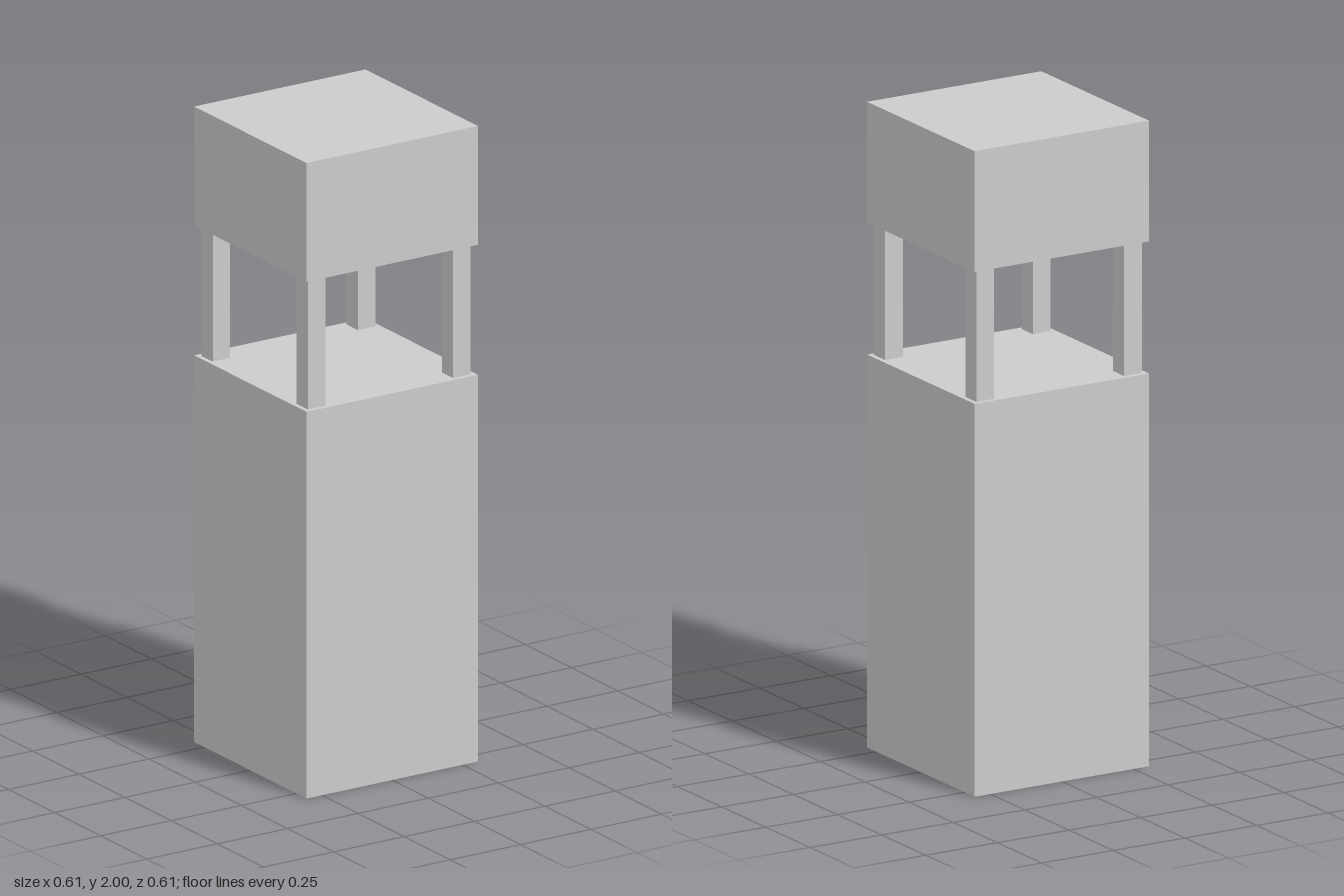
import * as THREE from 'three';

const WIDTH = 0.609;
const BODY_TOP = 1.217;
const CAP_BOTTOM = 1.626;
const POST = { size: 0.062, offset: 0.258 };

export function createModel() {
  const model = new THREE.Group();
  model.name = 'tower';
  const material = new THREE.MeshStandardMaterial({ color: 0xcccccc, flatShading: true });
  const shellMaterial = material.clone();
  shellMaterial.side = THREE.DoubleSide;

  // Square block spanning two heights
  function block(name, width, bottom, top, x = 0, z = 0) {
    const mesh = new THREE.Mesh(new THREE.BoxGeometry(width, top - bottom, width), material);
    mesh.name = name;
    mesh.position.set(x, (bottom + top) / 2, z);
    model.add(mesh);
    return mesh;
  }

  // Hollow body: a box without its underside (the fourth face, indices 18 to 23)
  const body = block('body', WIDTH, 0, BODY_TOP);
  const faces = Array.from(body.geometry.index.array);
  faces.splice(18, 6);
  body.geometry.setIndex(faces);
  body.geometry.clearGroups();
  body.material = shellMaterial;

  // Four corner posts
  for (const [side, sx] of [['Left', 1], ['Right', -1]]) {
    for (const [end, sz] of [['front', 1], ['back', -1]]) {
      block(`${end}${side}Post`, POST.size, BODY_TOP, CAP_BOTTOM, sx * POST.offset, sz * POST.offset);
    }
  }

  // Solid cap
  block('cap', WIDTH, CAP_BOTTOM, 2);

  return model;
}
